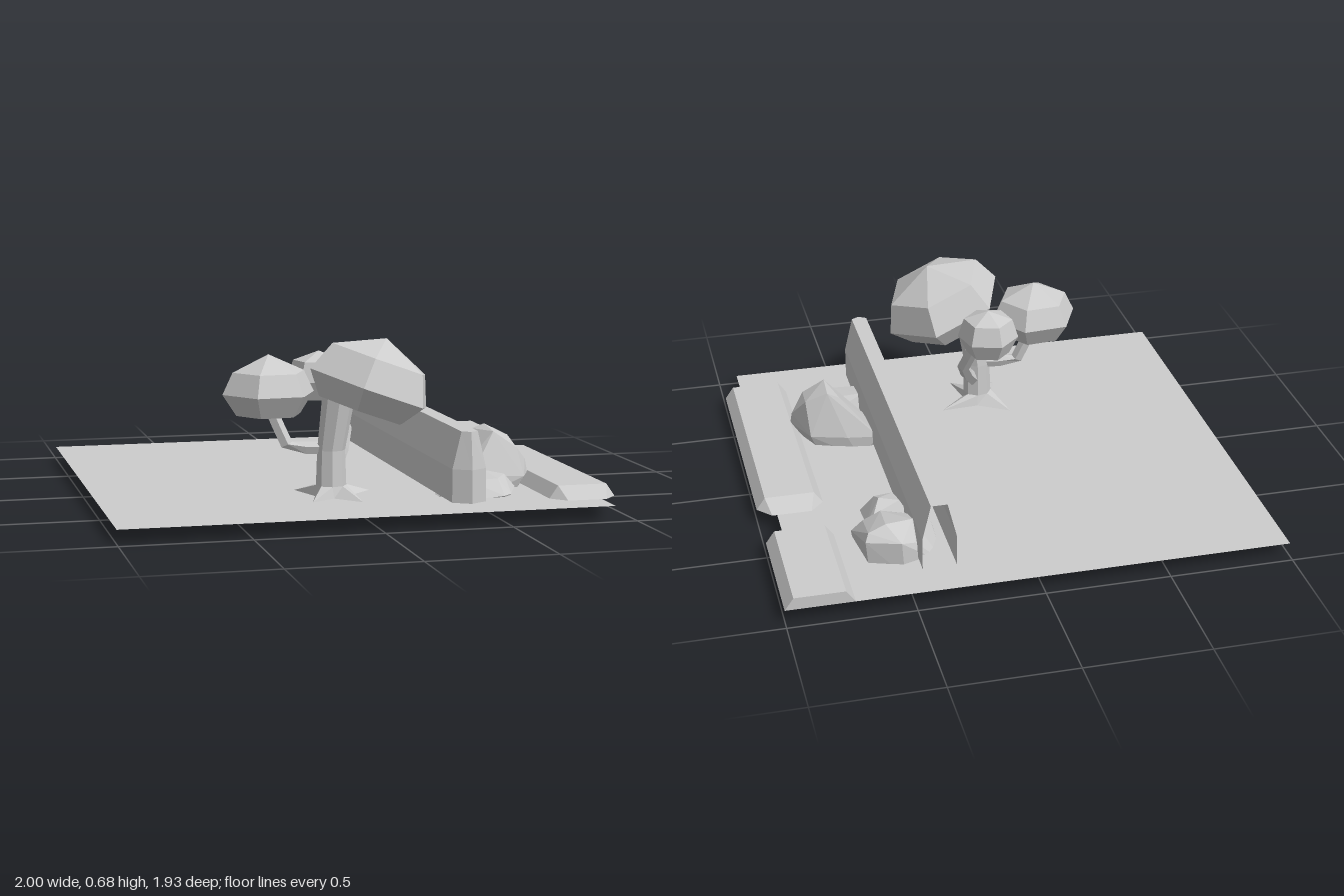
import * as THREE from 'three';
import { ConvexGeometry } from 'three/addons/geometries/ConvexGeometry.js';

const stone = new THREE.MeshStandardMaterial({ color: 0xcccccc, flatShading: true, side: THREE.DoubleSide });
stone.name = 'plain grey';
const GROUND = 0.055;

function mesh(name, geometry, parent) {
  const m = new THREE.Mesh(geometry, stone);
  m.name = name;
  parent.add(m);
  return m;
}

// Skin over equal-sized rings of [x, y, z] points, with an optional flat cap on the last ring
function loft(rings, cap = false) {
  const n = rings[0].length;
  const pos = rings.flat(2);
  const index = [];
  for (let i = 0; i < rings.length - 1; i++) {
    for (let j = 0; j < n; j++) {
      const a = i * n + j, b = i * n + (j + 1) % n;
      index.push(a, b, b + n, a, b + n, a + n);
    }
  }
  const last = (rings.length - 1) * n;
  if (cap) for (let j = 1; j < n - 1; j++) index.push(last, last + j, last + j + 1);
  const g = new THREE.BufferGeometry();
  g.setAttribute('position', new THREE.Float32BufferAttribute(pos, 3));
  g.setIndex(index);
  const flat = g.toNonIndexed();
  flat.computeVertexNormals();
  return flat;
}

// Faceted boulder: convex hull without its underside
function rock(name, points, floor, parent) {
  const p = new ConvexGeometry(points.map(v => new THREE.Vector3(...v))).getAttribute('position').array;
  const kept = [];
  for (let i = 0; i < p.length; i += 9) {
    if (Math.max(p[i + 1], p[i + 4], p[i + 7]) > floor + 0.005) kept.push(...p.slice(i, i + 9));
  }
  const g = new THREE.BufferGeometry();
  g.setAttribute('position', new THREE.Float32BufferAttribute(kept, 3));
  g.computeVertexNormals();
  mesh(name, g, parent);
}

// Raised kerb slab with bevelled edges; the back end may be cut straight
function slab(name, z0, z1, cutBack, parent) {
  const [l, r, c] = [0.73, 1, 0.055];
  const bz = cutBack ? 0 : 0.06, bx = cutBack ? 0 : c;
  const bottom = [[r, z1 - 0.06], [r, z0 + bz], [r - bx, z0], [l + bx, z0],
    [l, z0 + bz], [l, z1 - 0.06], [l + c, z1], [r - c, z1]];
  const tl = 0.765, tr = 0.965, ta = z0 + bz, tb = z1 - 0.06;
  const top = [[tr, tb], [tr, ta], [tr, ta], [tl, ta], [tl, ta], [tl, tb], [tl, tb], [tr, tb]];
  const at = (ring, y) => ring.map(([x, z]) => [x, y, z]);
  mesh(name, loft([at(bottom, GROUND), at(top, 0.105)], true), parent);
}

// Six-sided leaf crown
function crown(name, pos, r, profile, turn, tilt, parent) {
  const g = new THREE.LatheGeometry(profile.map(([k, y]) => new THREE.Vector2(k * r, y)), 6);
  g.rotateY(turn);
  g.rotateZ(tilt);
  mesh(name, g, parent).position.set(...pos);
}

function branch(name, points, r, parent) {
  const path = new THREE.CatmullRomCurve3(points.map(p => new THREE.Vector3(...p)), false, 'catmullrom', 0.1);
  mesh(name, new THREE.TubeGeometry(path, 4, r, 5), parent);
}

export function createModel() {
  const model = new THREE.Group();
  model.name = 'garden';

  // Ground sheet
  const ground = new THREE.PlaneGeometry(1.925, 1.93);
  ground.rotateX(-Math.PI / 2);
  mesh('ground', ground, model).position.set(-0.0375, GROUND, 0);

  // Long wall with a tapered top, a pointed front end and an open back
  const profile = [[0.445, 0.07], [0.445, 0.2], [0.41, 0.345], [0.345, 0.345], [0.31, 0.2], [0.31, 0.07]];
  const section = z => profile.map(([x, y]) => [x, y, z]);
  const nose = profile.map(([, y]) => [0.378, y, y > 0.3 ? 0.85 : 0.87]);
  mesh('wall', loft([section(-0.83), section(0.83), nose]), model);

  // Kerb slabs
  slab('longSlab', -0.28, 0.82, false, model);
  slab('shortSlab', -0.965, -0.42, true, model);

  // Boulders beside the wall
  rock('largeRock', [
    [0.36, 0, 0.24], [0.50, 0, 0.2], [0.66, 0, 0.26], [0.70, 0, 0.40], [0.66, 0, 0.48], [0.48, 0, 0.5], [0.36, 0, 0.42],
    [0.42, 0.1, 0.18], [0.55, 0.1, 0.2], [0.70, 0.1, 0.245], [0.765, 0.1, 0.395], [0.715, 0.1, 0.5], [0.5, 0.11, 0.49],
    [0.76, 0.15, 0.38], [0.57, 0.265, 0.26], [0.62, 0.285, 0.27], [0.61, 0.275, 0.42], [0.71, 0.24, 0.30], [0.70, 0.21, 0.45],
  ], 0, model);
  rock('lowRock', [
    [0.32, 0, 0.53], [0.45, 0, 0.48], [0.58, 0, 0.5], [0.62, 0, 0.56], [0.57, 0, 0.65], [0.42, 0, 0.66],
    [0.29, 0.03, 0.57], [0.33, 0.06, 0.62], [0.45, 0.05, 0.685], [0.57, 0.06, 0.69], [0.61, 0.06, 0.65], [0.66, 0.07, 0.545],
    [0.57, 0.08, 0.475], [0.42, 0.13, 0.53], [0.54, 0.135, 0.51], [0.61, 0.125, 0.56], [0.56, 0.12, 0.63], [0.44, 0.115, 0.63],
  ], 0, model);
  rock('backRock', [
    [0.32, 0, -0.52], [0.33, 0, -0.7], [0.5, 0, -0.755], [0.63, 0, -0.71], [0.655, 0, -0.51], [0.45, 0, -0.48],
    [0.36, 0.13, -0.55], [0.45, 0.13, -0.73], [0.51, 0.15, -0.76], [0.645, 0.15, -0.72], [0.665, 0.08, -0.505],
    [0.62, 0.13, -0.52], [0.46, 0.13, -0.5], [0.56, 0.205, -0.69], [0.45, 0.195, -0.66], [0.55, 0.17, -0.53], [0.63, 0.18, -0.7],
  ], 0, model);
  rock('smallRock', [
    [0.44, 0.035, -0.36], [0.54, 0.035, -0.34], [0.58, 0.035, -0.38], [0.57, 0.035, -0.48], [0.44, 0.035, -0.48],
    [0.45, 0.08, -0.35], [0.52, 0.07, -0.315], [0.6, 0.07, -0.345], [0.6, 0.09, -0.49], [0.42, 0.1, -0.49],
    [0.47, 0.15, -0.37], [0.55, 0.155, -0.39], [0.54, 0.175, -0.44], [0.46, 0.165, -0.46], [0.57, 0.13, -0.49],
  ], 0.035, model);

  // Tree
  const tree = new THREE.Group();
  tree.name = 'tree';
  model.add(tree);

  // Trunk rising from four pointed roots
  const roots = [[0.09, 0.42], [-0.07, 0.43], [-0.2, 0.35], [-0.15, 0.5],
    [-0.19, 0.63], [-0.09, 0.57], [0, 0.67], [-0.025, 0.53]].map(([x, z]) => [x, GROUND + 0.002, z]);
  const trunkRing = (cx, y, cz, r) => roots.map((_, j) => {
    const a = Math.PI * (0.2 + j / 4);
    return [cx + r * Math.cos(a), y, cz - r * Math.sin(a)];
  });
  mesh('trunk', loft([roots, trunkRing(-0.085, 0.1, 0.5, 0.06), trunkRing(-0.085, 0.24, 0.5, 0.055),
    trunkRing(-0.06, 0.45, 0.52, 0.065)], true), tree);

  // Side branches
  branch('rightBranch', [[-0.1, 0.245, 0.49], [-0.25, 0.25, 0.46], [-0.32, 0.41, 0.44]], 0.026, tree);
  branch('backBranch', [[-0.06, 0.17, 0.47], [0.01, 0.28, 0.37], [-0.03, 0.45, 0.27]], 0.028, tree);

  // Leaf crowns
  crown('largeCrown', [0.045, 0.49, 0.585], 0.265,
    [[0, -0.09], [0.72, -0.09], [1, 0], [0.8, 0.12], [0, 0.205]], Math.PI / 2 + 0.17, -0.35, tree);
  crown('rightCrown', [-0.325, 0.465, 0.45], 0.187,
    [[0, -0.085], [0.7, -0.085], [1, 0], [0.78, 0.085], [0, 0.152]], Math.PI / 2 + 0.09, 0, tree);
  crown('backCrown', [-0.075, 0.485, 0.25], 0.128,
    [[0, -0.075], [0.7, -0.075], [1, 0], [0.8, 0.08], [0, 0.118]], Math.PI / 2 - 0.28, 0, tree);

  return model;
}
